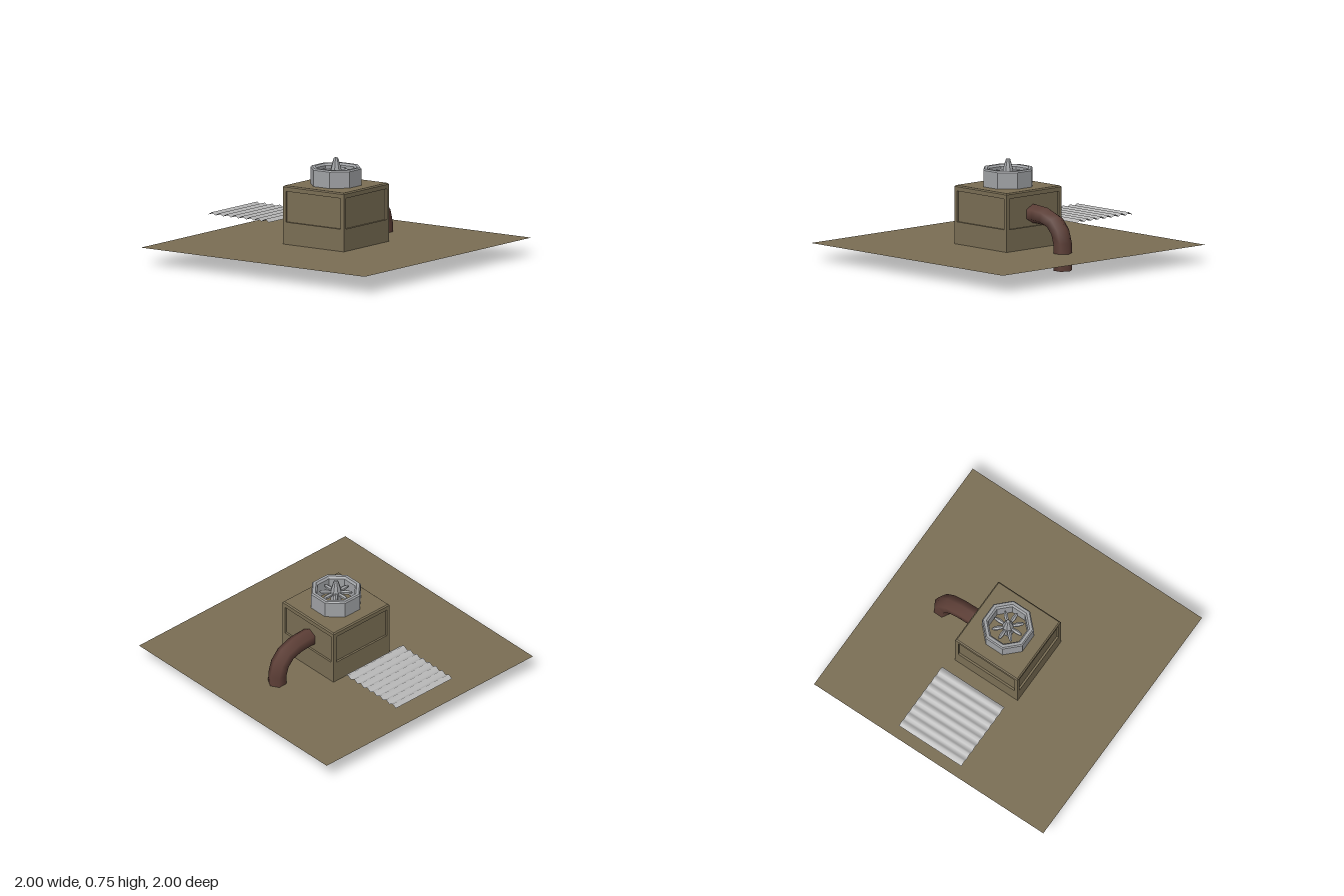
import * as THREE from 'three';

const sand = new THREE.MeshStandardMaterial({ color: 0x7a6e54, flatShading: true, side: THREE.DoubleSide });
const steel = new THREE.MeshStandardMaterial({ color: 0xa0a2a5, flatShading: true });
const sheetGrey = new THREE.MeshStandardMaterial({ color: 0xb8b8b8, side: THREE.DoubleSide });
const rust = new THREE.MeshStandardMaterial({ color: 0x5c3e36 });
sand.name = 'sand'; steel.name = 'steel'; sheetGrey.name = 'sheetGrey'; rust.name = 'rust';

function add(parent, name, geometry, material, x = 0, y = 0, z = 0) {
  const mesh = new THREE.Mesh(geometry, material);
  mesh.name = name;
  mesh.position.set(x, y, z);
  parent.add(mesh);
  return mesh;
}

// Hexagonal pipe swept along [x, y, heading in degrees] stations
function pipeGeometry(stations, radius) {
  const sides = 6, pos = [], idx = [];
  for (const [x, y, deg] of stations) {
    const t = THREE.MathUtils.degToRad(deg);
    for (let j = 0; j < sides; j++) {
      const a = (j / sides) * Math.PI * 2, n = Math.cos(a) * radius;
      pos.push(x + Math.sin(t) * n, y + Math.cos(t) * n, Math.sin(a) * radius);
    }
  }
  for (let i = 0; i < stations.length - 1; i++) {
    for (let j = 0; j < sides; j++) {
      const a = i * sides + j, b = i * sides + (j + 1) % sides;
      idx.push(a, b, a + sides, b, b + sides, a + sides);
    }
  }
  const g = new THREE.BufferGeometry();
  g.setAttribute('position', new THREE.Float32BufferAttribute(pos, 3));
  g.setIndex(idx);
  g.computeVertexNormals();
  return g;
}

export function createModel() {
  const model = new THREE.Group();
  model.name = 'ventUnit';

  // Ground sheet, with the unit and pipe sunk through it
  add(model, 'ground', new THREE.PlaneGeometry(2, 2).rotateX(-Math.PI / 2), sand, 0, 0.125, 0);

  // Housing: base, recessed panels, corner posts and chamfered lid
  const housing = new THREE.Group();
  housing.name = 'housing';
  model.add(housing);
  add(housing, 'base', new THREE.BoxGeometry(0.544, 0.287, 0.544), sand, 0, 0.1435, 0);
  add(housing, 'recessedPanels', new THREE.BoxGeometry(0.514, 0.224, 0.514), sand, 0, 0.399, 0);
  for (const x of [-1, 1]) for (const z of [-1, 1]) {
    add(housing, 'cornerPost', new THREE.BoxGeometry(0.027, 0.224, 0.027), sand, x * 0.2585, 0.399, z * 0.2585);
  }
  add(housing, 'lid', new THREE.BoxGeometry(0.544, 0.031, 0.544), sand, 0, 0.5265, 0);
  const d = Math.SQRT1_2 * 2;
  add(housing, 'lidChamfer', new THREE.CylinderGeometry(0.263 * d, 0.272 * d, 0.009, 4).rotateY(Math.PI / 4),
    sand, 0, 0.5465, 0);

  // Fan: octagonal shroud, hub and eight tapered blades
  const fan = new THREE.Group();
  fan.name = 'fan';
  model.add(fan);
  const shroud = [[0.189, 0.55], [0.189, 0.67], [0.18, 0.68], [0.158, 0.68], [0.145, 0.665], [0.145, 0.55]]
    .map(([x, y]) => new THREE.Vector2(x, y));
  add(fan, 'shroud', new THREE.LatheGeometry(shroud, 8, Math.PI / 8), steel);
  const hub = [[0.042, 0.55], [0.04, 0.66], [0.034, 0.685], [0.018, 0.738], [0.013, 0.745], [0, 0.745]]
    .map(([x, y]) => new THREE.Vector2(x, y));
  add(fan, 'hub', new THREE.LatheGeometry(hub, 8, Math.PI / 8), steel);
  const blade = [[0, 0.02], [0.011, 0.03], [0.017, 0.075], [0.012, 0.108], [0, 0.122]]
    .map(([x, y]) => new THREE.Vector2(x, y));
  const bladeGeometry = new THREE.LatheGeometry(blade, 6).rotateX(Math.PI / 2);
  for (let i = 0; i < 8; i++) {
    add(fan, 'blade', bladeGeometry, steel, 0, 0.645, 0).rotation.y = (i * Math.PI) / 4;
  }

  // Bent side pipe running down through the ground
  const stations = [[0.24, 0.377, 0], [0.31, 0.377, 0], [0.395, 0.37, 13], [0.488, 0.338, 38],
    [0.545, 0.275, 62], [0.569, 0.195, 84], [0.572, 0, 90]];
  add(model, 'pipe', pipeGeometry(stations, 0.068), rust);
  add(model, 'pipeEnd', new THREE.CircleGeometry(0.068, 6).rotateX(Math.PI / 2), rust, 0.572, 0.0005, 0);

  // Corrugated sheet floating behind the housing
  const sheet = new THREE.PlaneGeometry(0.545, 0.545, 1, 32).rotateX(-Math.PI / 2);
  const p = sheet.attributes.position;
  for (let i = 0; i < p.count; i++) {
    p.setY(i, -0.01 * Math.cos(((p.getZ(i) + 0.2725) / 0.545) * 16 * Math.PI));
  }
  sheet.computeVertexNormals();
  add(model, 'corrugatedSheet', sheet, sheetGrey, 0.017, 0.275, -0.683);

  return model;
}
